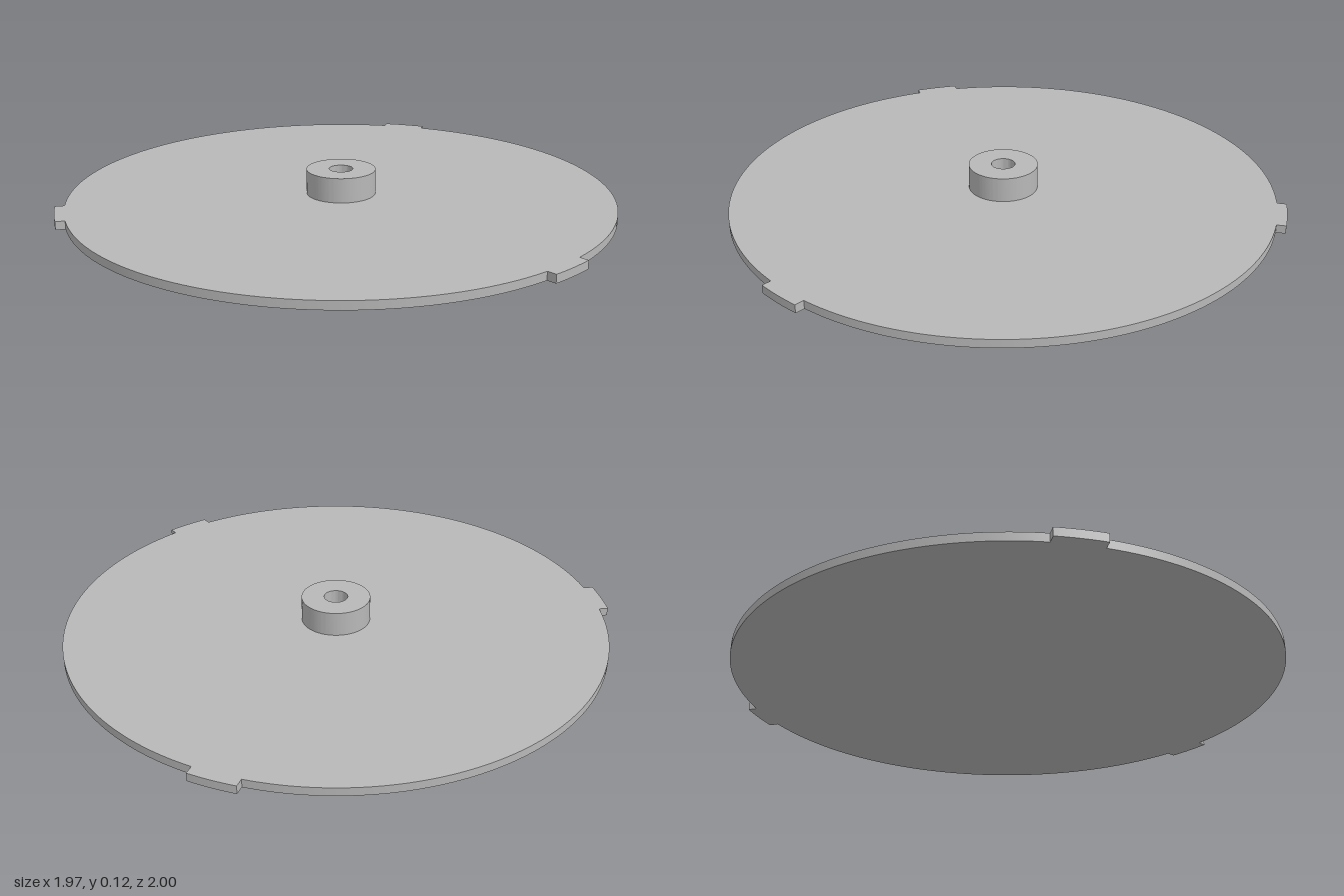
import * as THREE from 'three';
import { toCreasedNormals } from 'three/addons/utils/BufferGeometryUtils.js';

const DISC_R = 0.983, TAB_R = 1.0165, TAB_HALF = 0.083;
const PLATE_H = 0.03, HUB_TOP = 0.12, HUB_R = 0.125, BORE_R = 0.043;

// Extrude a flat outline upwards, round walls smooth and edges sharp
function slab(shape, height, curveSegments) {
  const g = new THREE.ExtrudeGeometry(shape, { depth: height, bevelEnabled: false, curveSegments });
  g.rotateX(-Math.PI / 2);
  return toCreasedNormals(g, Math.PI / 6);
}

// Disc outline with three parallel-sided tabs, one at the back
function plateShape() {
  const shape = new THREE.Shape();
  const inner = Math.asin(TAB_HALF / DISC_R), outer = Math.asin(TAB_HALF / TAB_R);
  const step = Math.PI * 2 / 3;
  for (let i = 0; i < 3; i++) {
    const a = Math.PI / 2 + i * step;
    shape.absarc(0, 0, TAB_R, a - outer, a + outer, false);
    shape.absarc(0, 0, DISC_R, a + inner, a + step - inner, false);
  }
  shape.closePath();
  return shape;
}

// Ring with a central bore
function hubShape() {
  const shape = new THREE.Shape();
  shape.absarc(0, 0, HUB_R, 0, Math.PI * 2, false);
  const bore = new THREE.Path();
  bore.absarc(0, 0, BORE_R, 0, Math.PI * 2, true);
  shape.holes.push(bore);
  return shape;
}

export function createModel() {
  const grey = new THREE.MeshStandardMaterial({ color: 0xb8b8b8 });
  grey.name = 'grey';

  const plate = new THREE.Mesh(slab(plateShape(), PLATE_H, 40), grey);
  plate.name = 'tabbedPlate';

  const hub = new THREE.Mesh(slab(hubShape(), HUB_TOP - PLATE_H, 64), grey);
  hub.name = 'hub';
  hub.position.y = PLATE_H;

  // The back tab shifts the disc centre slightly forward
  const body = new THREE.Group();
  body.name = 'disc';
  body.position.z = (TAB_R - DISC_R) / 2;
  body.add(plate, hub);

  const model = new THREE.Group();
  model.name = 'tabbedDisc';
  model.add(body);
  return model;
}
